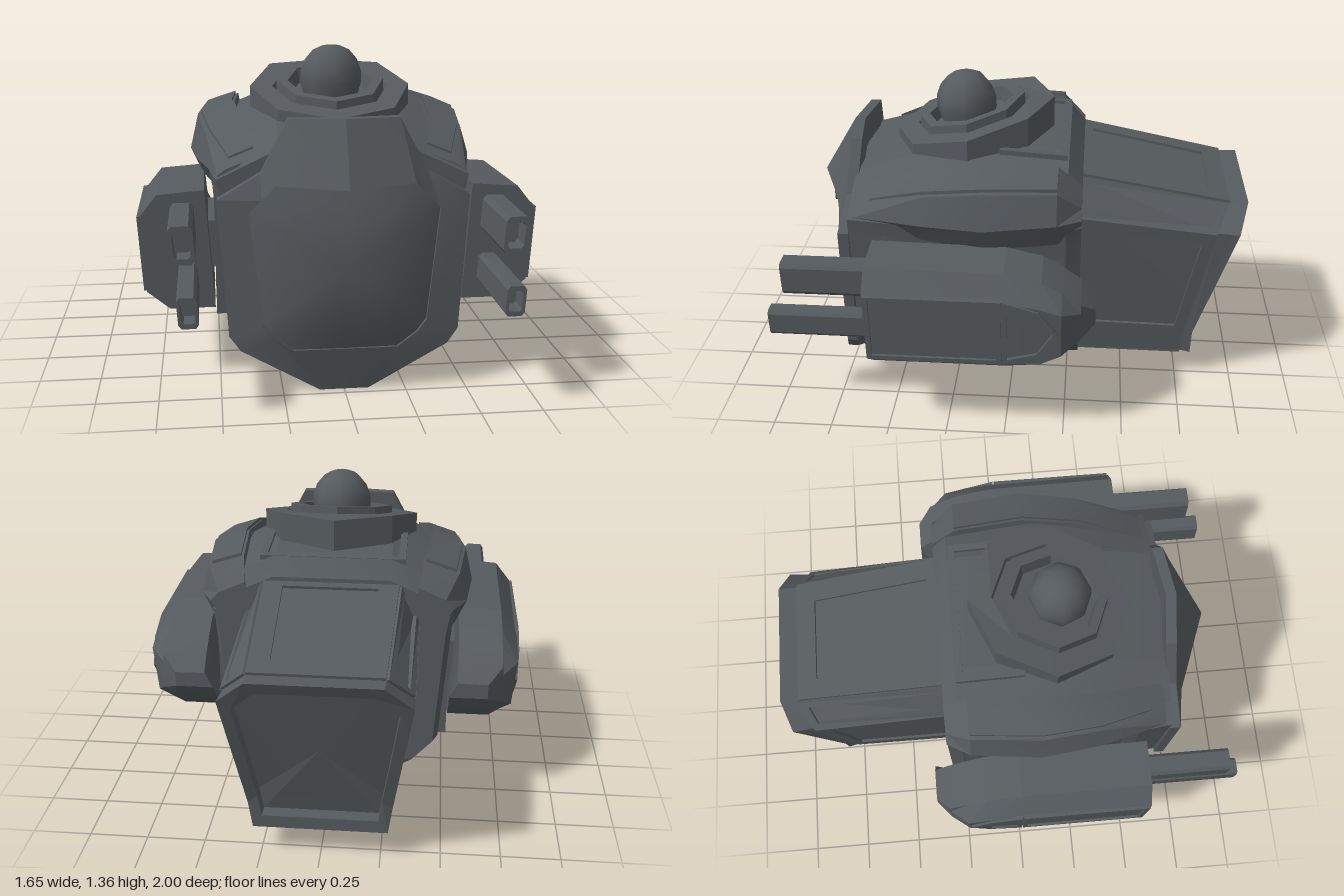
import * as THREE from 'three';
import { toCreasedNormals } from 'three/addons/utils/BufferGeometryUtils.js';

const V = (x, y, z) => new THREE.Vector3(x, y, z);
const hullGrey = new THREE.MeshStandardMaterial({ color: 0x565b5f });
hullGrey.name = 'hullGrey';

// Skin a list of equal-length rings; ends are capped, or joined when loop is true.
function loft(rings, { loop = false, crease = 0.1 } = {}) {
  const pos = [], n = rings[0].length;
  const tri = (a, b, c) => pos.push(...a.toArray(), ...b.toArray(), ...c.toArray());
  const spans = loop ? rings.length : rings.length - 1;
  for (let i = 0; i < spans; i++) {
    const r = rings[i], s = rings[(i + 1) % rings.length];
    for (let j = 0; j < n; j++) {
      const k = (j + 1) % n;
      tri(r[j], r[k], s[k]);
      tri(r[j], s[k], s[j]);
    }
  }
  if (!loop) {
    [rings[0], rings[rings.length - 1]].forEach((r, e) => {
      const c = centre(r);
      for (let j = 0; j < n; j++) {
        const a = r[j], b = r[(j + 1) % n];
        e ? tri(a, b, c) : tri(b, a, c);
      }
    });
  }
  // Turn the solid outward when its signed volume is negative.
  let vol = 0;
  const o = rings[0][0];
  const at = i => V(pos[i], pos[i + 1], pos[i + 2]);
  for (let i = 0; i < pos.length; i += 9) {
    vol += at(i).sub(o).dot(at(i + 3).sub(o).cross(at(i + 6).sub(o)));
  }
  if (vol < 0) {
    for (let i = 0; i < pos.length; i += 9) {
      for (let k = 0; k < 3; k++) [pos[i + 3 + k], pos[i + 6 + k]] = [pos[i + 6 + k], pos[i + 3 + k]];
    }
  }
  const g = new THREE.BufferGeometry();
  g.setAttribute('position', new THREE.Float32BufferAttribute(pos, 3));
  return toCreasedNormals(g, crease);
}

const centre = r => r.reduce((a, p) => a.add(p), V(0, 0, 0)).divideScalar(r.length);

// Mirror a half outline that starts and ends on x = 0.
const whole = half => [...half, ...half.slice(1, -1).reverse().map(p => V(-p.x, p.y, p.z))];

// Raised border around a flat polygon.
function frame(pts, width, height, out) {
  const n = pts.length;
  const normal = pts[1].clone().sub(pts[0]).cross(pts[2].clone().sub(pts[0])).normalize();
  if (normal.dot(out) < 0) normal.negate();
  const inner = pts.map((p, i) => {
    const a = pts[(i + 1) % n].clone().sub(p).normalize();
    const b = pts[(i + n - 1) % n].clone().sub(p).normalize();
    return p.clone().addScaledVector(a.add(b), width);
  });
  const shift = (r, h) => r.map(p => p.clone().addScaledVector(normal, h));
  return loft([shift(pts, -0.01), shift(pts, height), shift(inner, height), shift(inner, -0.01)], { loop: true });
}

export function createModel() {
  const root = new THREE.Group();
  const add = (name, geo, parent = root) => {
    const m = new THREE.Mesh(geo, hullGrey);
    m.name = name;
    parent.add(m);
    return m;
  };
  const box = (name, x0, x1, y0, y1, z0, z1, parent) =>
    add(name, new THREE.BoxGeometry(Math.abs(x1 - x0), y1 - y0, Math.abs(z1 - z0)), parent)
      .position.set((x0 + x1) / 2, (y0 + y1) / 2, (z0 + z1) / 2);

  // Main hull: z, width factor, top height
  add('hull', loft([[0.67, 0.95, 1.0], [0.45, 1, 1.06], [0.17, 1.01, 1.13], [-0.24, 1, 1.11], [-0.3, 0.95, 1.04]]
    .map(([z, s, t]) => whole([[0, 0.17], [0.36, 0.17], [0.475 * s, 0.27], [0.515 * s, 0.8], [0.53 * s, 0.88],
      [0.42 * s, t - 0.07], [0.25, t], [0, t]].map(([x, y]) => V(x, y, z)))), { crease: 0.3 }));
  // Sloped belly border around a sunken floor
  const belly = (x, y, z0, z1) => [V(-x, y, z0), V(x, y, z0), V(x, y, z1), V(-x, y, z1)];
  add('bellyFrame', loft([belly(0.36, 0.171, 0.67, -0.3), belly(0.285, 0.115, 0.67, -0.28),
    belly(0.21, 0.115, 0.58, -0.2), belly(0.21, 0.18, 0.58, -0.2)], { loop: true }));
  add('roofFrame', frame([V(-0.31, 1.1, -0.235), V(0.31, 1.1, -0.235), V(0.31, 1.118, 0.05), V(-0.31, 1.118, 0.05)],
    0.03, 0.012, V(0, 1, 0)));

  // Front shield with an overhanging brow and a recessed curved panel
  const outer = [[0, 1.12, 0.72], [0.22, 1.12, 0.69], [0.33, 0.91, 0.705], [0.5, 0.81, 0.715], [0.465, 0.25, 0.72],
    [0.42, 0.19, 0.73], [0.1, 0, 0.71], [0, 0, 0.71]];
  const rim = [[0, 0.87, 0.87], [0.275, 0.87, 0.76], [0.33, 0.81, 0.742], [0.38, 0.76, 0.735], [0.33, 0.3, 0.745],
    [0.29, 0.25, 0.75], [0.21, 0.19, 0.75], [0, 0.19, 0.75]];
  const sunk = [0.765, 0.74, 0.73, 0.72, 0.73, 0.735, 0.738, 0.742];
  const bulge = f => whole(rim.map(([x, y], i) =>
    V(x * f, 0.55 + (y - 0.55) * f, sunk[i] * f * f + 0.815 * (1 - f * f))));
  const ring = pts => whole(pts.map(p => V(...p)));
  const rear = outer.map(([x, y, z]) => [x, y, z - 0.045]);
  add('frontShield', loft([ring(rear), ring(outer), ring(rim), bulge(1), bulge(0.75), bulge(0.5), bulge(0.25)],
    { crease: 0.32 }));

  // Rear engine box with sides tapering downward, border frames and a sunken back panel
  const b0 = ring([[0, 1.02, -0.25], [0.29, 1.02, -0.25], [0.365, 0.86, -0.25], [0.29, 0.25, -0.25], [0.275, 0.14, -0.25], [0, 0.14, -0.25]]);
  const b1 = ring([[0, 0.895, -0.92], [0.265, 0.895, -0.92], [0.365, 0.8, -0.87], [0.287, 0.24, -0.77], [0.272, 0.135, -0.765], [0, 0.135, -0.765]]);
  const b2 = ring([[0, 0.9, -1], [0.262, 0.9, -1], [0.375, 0.8, -0.965], [0.297, 0.25, -0.812], [0.28, 0.13, -0.81], [0, 0.13, -0.81]]);
  const mid = V(0, 0.53, 0);
  const back = dz => b2.map(p => {
    const q = p.clone().sub(mid).multiplyScalar(0.86).add(mid);
    q.z = -0.81 - Math.max(0, q.y - 0.25) * 0.28 + dz;
    return q;
  });
  add('engineBox', loft([b0, b1, b2, back(0), back(0.06)]));
  const faces = [[1, 2, 0.03], [2, 3, 0.05], [8, 7, 0.05], [9, 8, 0.03], [9, 1, 0.085], [6, 4, 0.085]];
  faces.forEach(([i, j, w]) => {
    const q = [b0[i], b0[j], b1[j], b1[i]];
    const c = centre(q);
    add('engineFrame', frame(q, w, 0.012, V(c.x, c.y - 0.55, 0)));
  });

  // Tilted octagonal turret with a raised collar and dome
  const octagon = (r, cz, yOf) => Array.from({ length: 8 }, (_, i) => {
    const a = i * Math.PI / 4, z = cz + r * Math.cos(a);
    return V(r * Math.sin(a), yOf(z), z);
  });
  const slope = h => z => 1.085 + 0.27 * (0.53 - z) + h;
  const tilt = h => z => Math.min(1.25, slope(0)(z)) + h;
  add('turretBase', loft([octagon(0.345, 0.18, z => 1.02 + 0.1 * (0.53 - z)), octagon(0.345, 0.18, tilt(0)),
    octagon(0.25, 0.185, tilt(0)), octagon(0.245, 0.185, tilt(-0.03))]));
  add('turretCollar', loft([octagon(0.235, 0.195, slope(-0.06)), octagon(0.23, 0.195, slope(0.03)),
    octagon(0.185, 0.2, slope(0.03)), octagon(0.17, 0.2, slope(-0.04))]));
  const domeProfile = [[0.115, 1.14], [0.132, 1.2], [0.13, 1.245], [0.112, 1.295], [0.078, 1.335], [0.04, 1.352], [0, 1.355]]
    .map(([x, y]) => new THREE.Vector2(x, y));
  add('dome', toCreasedNormals(new THREE.LatheGeometry(domeProfile, 8), 0.9)).position.z = 0.22;

  for (const s of [1, -1]) {
    const side = new THREE.Group();
    side.name = s > 0 ? 'leftSide' : 'rightSide';
    root.add(side);

    // Shoulder pad: z, inner x, outer x, bottom, ridge, top
    const pad = [[0.64, 0.34, 0.5, 0.84, 0.89, 0.965], [0.35, 0.39, 0.575, 0.81, 0.9, 1.065],
      [0.1, 0.41, 0.605, 0.79, 0.9, 1.1], [-0.2, 0.385, 0.575, 0.81, 0.92, 1.095], [-0.3, 0.37, 0.52, 0.84, 0.92, 1.01]];
    add('shoulderPad', loft(pad.map(([z, i, o, b, r, t]) => [[i - 0.03, b], [o - 0.05, b], [o, r], [o - 0.035, t - 0.05], [i, t]]
      .map(([x, y]) => V(s * x, y, z))), { crease: 0.3 }), side);
    add('shoulderPlate', loft(pad.slice(0, 4).map(([z, i, o, , , t]) => {
      const zz = Math.min(z, 0.58), lift = zz < z ? 0.02 : 0, x0 = i + 0.012, x1 = o - 0.05;
      const top = x => t + lift - 0.05 * (x - i) / (o - 0.035 - i);
      return [[x0, top(x0) - 0.02], [x1, top(x1) - 0.02], [x1, top(x1) + 0.014], [x0, top(x0) + 0.014]]
        .map(([x, y]) => V(s * x, y, zz));
    }), { crease: 0.3 }), side);

    // Wall ribs, pod mounts and lower brackets
    for (const z of [0.5, 0.18, -0.2]) box('wallRib', s * 0.46, s * 0.51, 0.28, 0.81, z - 0.03, z + 0.03, side);
    box('podMount', s * 0.46, s * 0.57, 0.44, 0.64, -0.02, 0.38, side);
    box('podBracket', s * 0.44, s * 0.5, 0.27, 0.32, -0.05, 0.35, side);

    // Weapon pod with a rounded tail: z, bottom, top, outermost x
    const section = [[0.55, 1], [0.74, 0.97], [0.812, 0.786], [0.792, 0.153], [0.7, 0], [0.515, 0]];
    add('weaponPod', loft([[0.56, 0.32, 0.815, 0.9], [0, 0.32, 0.805, 0.9], [-0.15, 0.335, 0.77, 0.9],
      [-0.235, 0.395, 0.72, 0.81], [-0.31, 0.465, 0.665, 0.745], [-0.37, 0.535, 0.605, 0.68]]
      .map(([z, lo, hi, limit]) => section.map(([x, f]) => V(s * Math.min(x, limit), lo + (hi - lo) * f, z)))), side);
    const onPod = ([z, y]) => V(s * (0.793 + (y - 0.4) * 0.0645), y, z);
    add('podFrontFrame', frame([[0.555, 0.71], [0.005, 0.71], [0.005, 0.4], [0.555, 0.4]].map(onPod),
      0.02, 0.01, V(s, 0, 0)), side);
    add('podRearFrame', frame([[0, 0.71], [-0.145, 0.665], [-0.225, 0.56], [-0.145, 0.45], [0, 0.4]].map(onPod),
      0.02, 0.01, V(s, 0, 0)), side);

    // Hollow twin barrels: x, y, half width, half height, muzzle z
    for (const [x, y, w, h, end] of [[0.638, 0.69, 0.047, 0.075, 0.917], [0.62, 0.455, 0.038, 0.06, 1]]) {
      const bore = (f, z) => [[1, 0.75], [0.7, 1], [-0.7, 1], [-1, 0.75], [-1, -0.75], [-0.7, -1], [0.7, -1], [1, -0.75]]
        .map(([a, b]) => V(s * (x + a * w * f + b * h * f * 0.0645), y + b * h * f, z));
      add('barrel', loft([bore(1, 0.5), bore(1, end), bore(0.68, end), bore(0.68, end - 0.09)]), side);
    }
  }
  return root;
}
